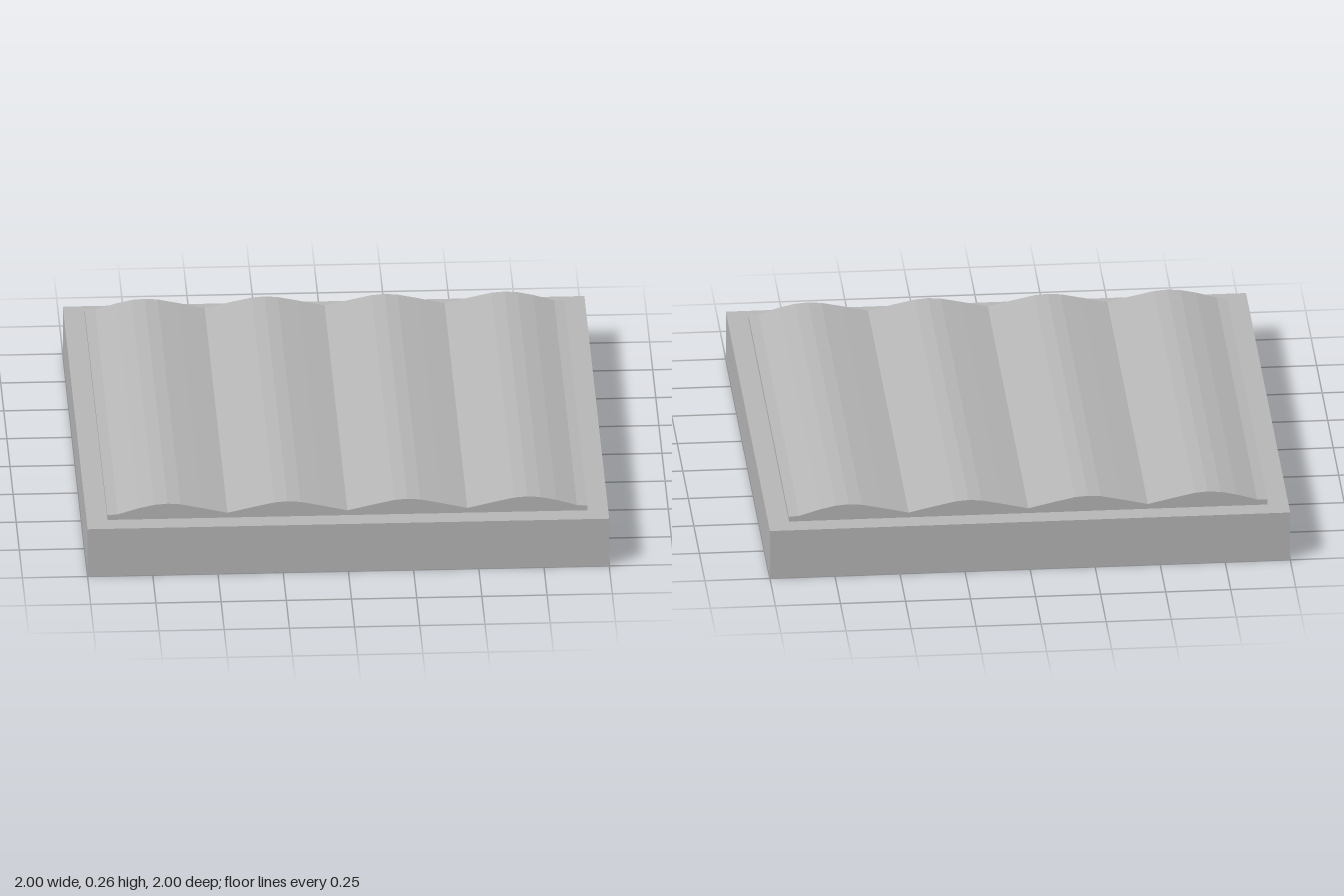
import * as THREE from 'three';

export function createModel() {
  const model = new THREE.Group();
  const grey = new THREE.MeshStandardMaterial({ color: 0xb8b8b8, side: THREE.DoubleSide });
  grey.name = 'plain grey';

  // Hollow base slab: a box without its bottom face
  const slab = new THREE.BoxGeometry(2, 0.2, 2).translate(0, 0.1, 0);
  const index = Array.from(slab.index.array);
  index.splice(18, 6);
  slab.setIndex(index);
  slab.clearGroups();
  const base = new THREE.Mesh(slab, grey);
  base.name = 'base';
  model.add(base);

  // Rippled sheet: half of the wave profile, mirrored about x = 0
  const half = [
    [0.1, 0.243], [0.18, 0.26], [0.23, 0.264], [0.28, 0.26], [0.36, 0.243], [0.46, 0.22],
    [0.56, 0.243], [0.64, 0.26], [0.69, 0.264], [0.74, 0.26], [0.8, 0.247], [0.88, 0.223], [0.92, 0.22],
  ];
  const mirrored = half.map(([x, y]) => [-x, y]).reverse();
  const top = [...mirrored, [0, 0.22], ...half];
  const outline = [[0.92, 0.199], ...top.reverse(), [-0.92, 0.199]];
  const shape = new THREE.Shape(outline.map(([x, y]) => new THREE.Vector2(x, y)));
  const sheet = new THREE.ExtrudeGeometry(shape, { depth: 1.84, bevelEnabled: false });
  sheet.translate(0, 0, -0.92);
  const ripples = new THREE.Mesh(sheet, grey);
  ripples.name = 'rippledSurface';
  model.add(ripples);

  return model;
}
